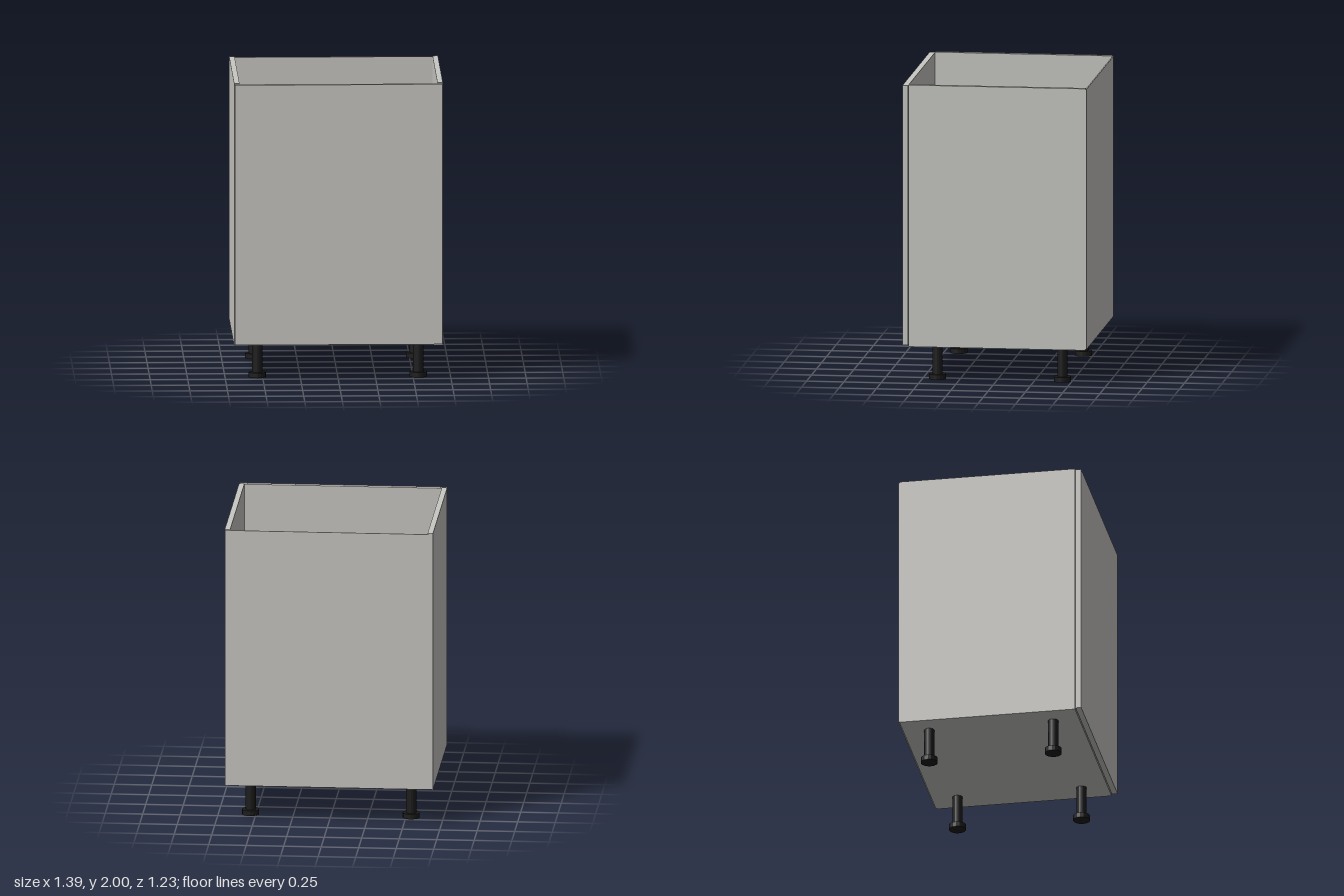
import * as THREE from 'three';

export function createModel() {
  const model = new THREE.Group();
  model.name = 'baseCabinet';

  const board = new THREE.MeshStandardMaterial({ color: 0xc8c7c3 });
  board.name = 'light grey board';
  const plastic = new THREE.MeshStandardMaterial({ color: 0x1c1c1c, flatShading: true });
  plastic.name = 'black plastic';

  // Box panel given by its two opposite corners
  function panel(name, [x0, y0, z0], [x1, y1, z1]) {
    const mesh = new THREE.Mesh(new THREE.BoxGeometry(x1 - x0, y1 - y0, z1 - z0), board);
    mesh.position.set((x0 + x1) / 2, (y0 + y1) / 2, (z0 + z1) / 2);
    mesh.name = name;
    model.add(mesh);
  }

  // Open-topped carcass
  panel('leftSide', [0.658, 0.238, -0.61], [0.694, 2, 0.575]);
  panel('rightSide', [-0.694, 0.238, -0.61], [-0.658, 2, 0.575]);
  panel('bottomPanel', [-0.658, 0.238, -0.61], [0.658, 0.274, 0.575]);
  panel('backPanel', [-0.69, 0.243, -0.618], [0.69, 1.995, -0.61]);

  // Door
  panel('door', [-0.69, 0.248, 0.578], [0.69, 1.995, 0.616]);

  // Adjustable legs: a post on a wider foot
  const post = new THREE.CylinderGeometry(0.034, 0.034, 0.204, 16);
  const foot = new THREE.CylinderGeometry(0.057, 0.057, 0.034, 16);
  for (const x of [-0.535, 0.535]) {
    for (const z of [-0.437, 0.4]) {
      const leg = new THREE.Group();
      leg.name = (z > 0 ? 'front' : 'back') + (x > 0 ? 'Left' : 'Right') + 'Leg';
      const postMesh = new THREE.Mesh(post, plastic);
      postMesh.name = 'post';
      postMesh.position.y = 0.136;
      const footMesh = new THREE.Mesh(foot, plastic);
      footMesh.name = 'foot';
      footMesh.position.y = 0.017;
      leg.add(postMesh, footMesh);
      leg.position.set(x, 0, z);
      model.add(leg);
    }
  }
  return model;
}
